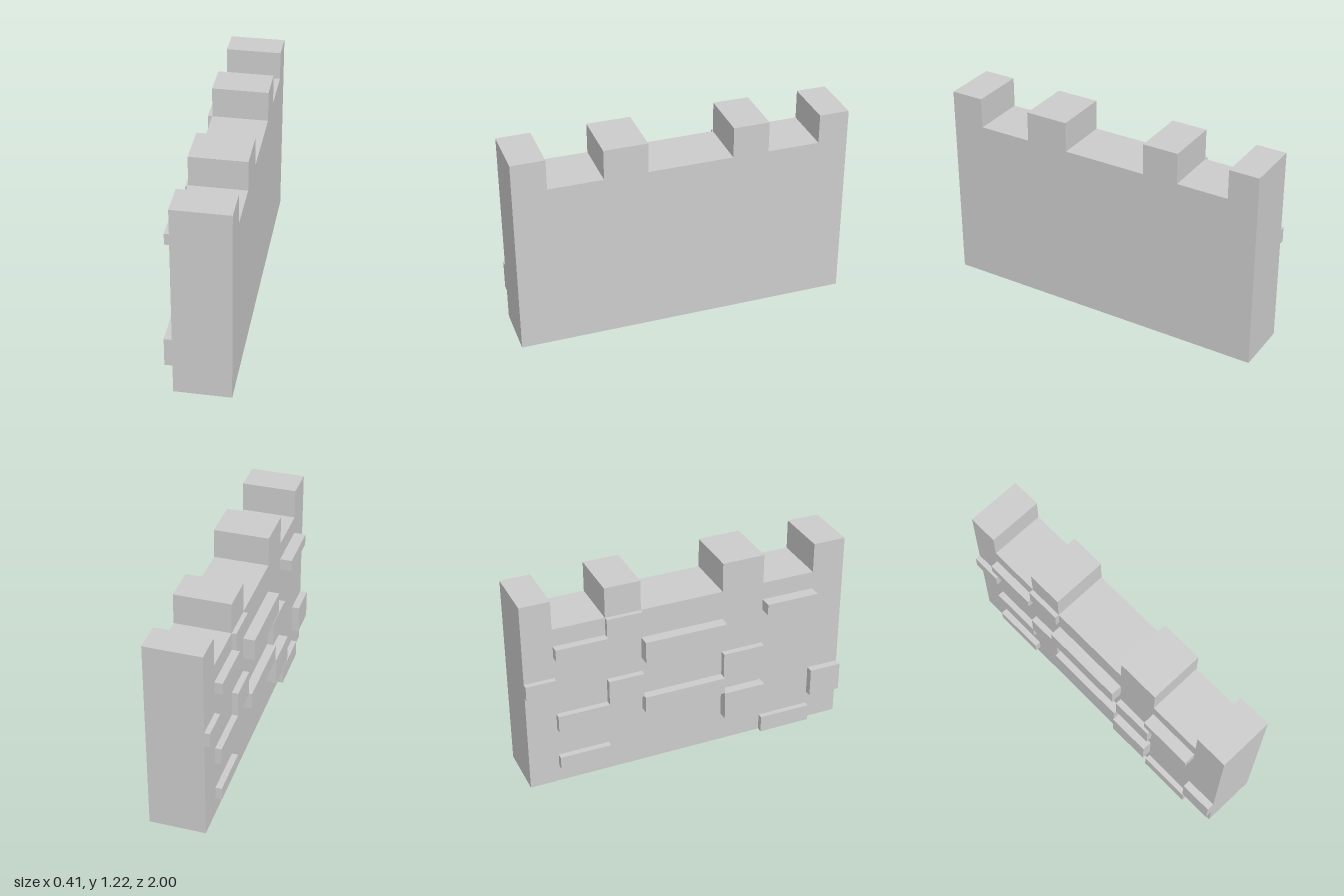
import * as THREE from 'three';

const FACE = -0.133; // wall face that carries the raised bricks
const BACK = 0.2;    // plain wall face
const WALKWAY = 1.03;

// Columns along z shared by the battlements and the bricks
const columns = [-1, -0.82, -0.508, -0.292, 0.215, 0.475, 0.8, 1];
// Brick courses in y
const courses = [0, 0.105, 0.185, 0.365, 0.47, 0.625, 0.715, 0.85, 0.92, 1.03];
// Top height of each battlement, keyed by column
const battlements = { 0: 1.207, 2: 1.217, 4: 1.212, 6: 1.213 };

// Raised bricks: [column, course, outer x]
const bricks = [
  [0, 5, -0.165],
  [1, 7, -0.18], [1, 3, -0.17], [1, 1, -0.17],
  [2, 8, -0.16], [2, 4, -0.17],
  [3, 6, -0.202], [3, 3, -0.187],
  [4, 4, -0.17], [4, 2, -0.193],
  [5, 7, -0.205], [5, 0, -0.167],
  [6, 2, -0.178],
];

export function createModel() {
  const model = new THREE.Group();
  model.name = 'battlementWall';
  const material = new THREE.MeshStandardMaterial({ color: 0xcccccc, flatShading: true });

  // Wall: stepped side outline extruded through its thickness
  const outline = new THREE.Shape();
  outline.moveTo(1, 0);
  for (let i = 0; i < columns.length - 1; i++) {
    const top = battlements[i] ?? WALKWAY;
    outline.lineTo(-columns[i], top);
    outline.lineTo(-columns[i + 1], top);
  }
  outline.lineTo(-1, 0);
  outline.closePath();
  const wallGeometry = new THREE.ExtrudeGeometry(outline, { depth: BACK - FACE, bevelEnabled: false });
  wallGeometry.rotateY(Math.PI / 2).translate(FACE, 0, 0);
  const wall = new THREE.Mesh(wallGeometry, material);
  wall.name = 'wall';
  model.add(wall);

  // Raised bricks on the face
  const brickGroup = new THREE.Group();
  brickGroup.name = 'raisedBricks';
  for (const [column, course, outer] of bricks) {
    const [z0, z1] = [columns[column], columns[column + 1]];
    const [y0, y1] = [courses[course], courses[course + 1]];
    const brick = new THREE.Mesh(new THREE.BoxGeometry(FACE - outer, y1 - y0, z1 - z0), material);
    brick.position.set((FACE + outer) / 2, (y0 + y1) / 2, (z0 + z1) / 2);
    brick.name = 'brick';
    brickGroup.add(brick);
  }
  model.add(brickGroup);
  return model;
}
